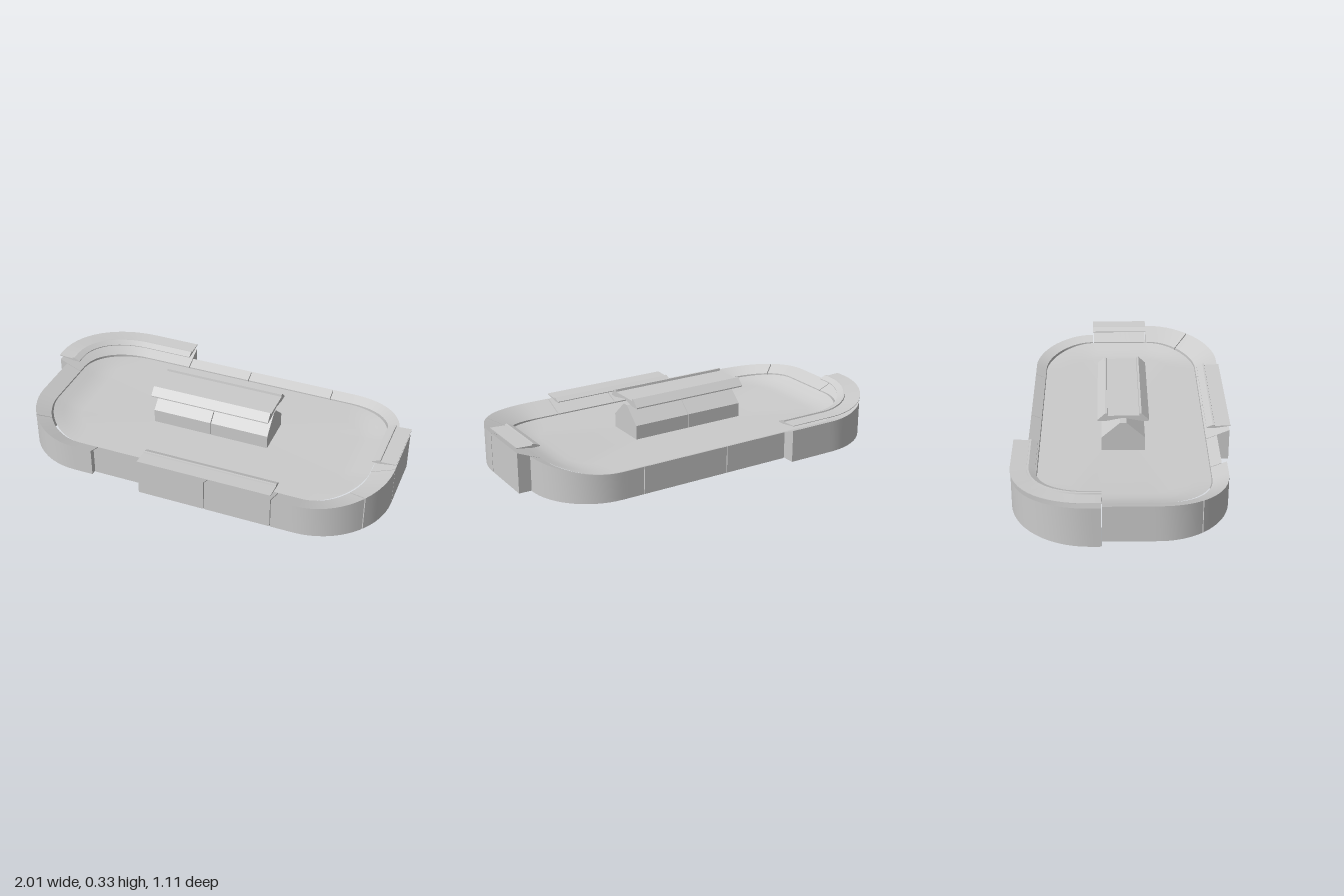
import * as THREE from 'three';
import { toCreasedNormals } from 'three/addons/utils/BufferGeometryUtils.js';

const grey = new THREE.MeshStandardMaterial({ color: 0xcccccc });
const greyOpen = new THREE.MeshStandardMaterial({ color: 0xcccccc, side: THREE.DoubleSide });

// Rounded-rectangle path: corner centres at (+-CX, +-CZ), corner radius R
const CX = 0.61, CZ = 0.16, R = 0.27, ARC = R * Math.PI / 2;
const LENGTHS = [2 * CX, ARC, 2 * CZ, ARC, 2 * CX, ARC, 2 * CZ, ARC];
const STARTS = LENGTHS.map((_, i) => LENGTHS.slice(0, i).reduce((a, b) => a + b, 0));
const TOTAL = STARTS[7] + ARC;
const END_LIFT = 0.04;

// Point, outward direction, end lift and corner weight at distance s along the path
function track(s) {
  s = ((s % TOTAL) + TOTAL) % TOTAL;
  let i = 7;
  while (i > 0 && s < STARTS[i] - 1e-9) i--;
  const t = (s - STARTS[i]) / LENGTHS[i];
  const side = i >> 1;
  const a = (side + (i % 2 ? t : 0)) * Math.PI / 2; // 0 = front, then left end, back, right end
  const nx = Math.sin(a), nz = Math.cos(a);
  const centres = [[CX, CZ], [CX, -CZ], [-CX, -CZ], [-CX, CZ]];
  const from = centres[(side + 3) % 4], to = centres[side];
  const k = i % 2 ? 1 : t;
  const cx = from[0] + (to[0] - from[0]) * k, cz = from[1] + (to[1] - from[1]) * k;
  let e = Math.acos(Math.min(1, Math.abs(nz))) / (Math.PI / 2);
  e = e * e * (3 - 2 * e);
  return { cx, cz, nx, nz, lift: END_LIFT * e, corner: Math.abs(Math.sin(2 * a)) };
}

// Samples between two path distances, with every straight/arc joint included
function samples(s0, s1) {
  const stops = [s0, s1];
  for (const b of [...STARTS, ...STARTS.map(v => v + TOTAL)]) if (b > s0 + 1e-4 && b < s1 - 1e-4) stops.push(b);
  stops.sort((a, b) => a - b);
  const out = [s0];
  for (let i = 1; i < stops.length; i++) {
    const n = Math.max(1, Math.ceil((stops[i] - stops[i - 1]) / 0.03));
    for (let j = 1; j <= n; j++) out.push(stops[i - 1] + (stops[i] - stops[i - 1]) * j / n);
  }
  return out;
}

function finish(pos) {
  const g = new THREE.BufferGeometry();
  g.setAttribute('position', new THREE.Float32BufferAttribute(pos, 3));
  g.computeVertexNormals();
  return toCreasedNormals(g, 0.35);
}

// Sweep a counter-clockwise (offset, height) profile along the path and cap both ends
function sweep(s0, s1, profile, openBottom) {
  const rings = samples(s0, s1).map(s => {
    const p = track(s);
    return profile.map(([d, y]) => [p.cx + p.nx * (R + d), y > 0 ? y + p.lift : 0, p.cz + p.nz * (R + d)]);
  });
  const pos = [], n = profile.length;
  const tri = (a, b, c) => pos.push(...a, ...b, ...c);
  for (let i = 0; i < rings.length - 1; i++) {
    for (let j = openBottom ? 1 : 0; j < n; j++) {
      const k = (j + 1) % n, A = rings[i], B = rings[i + 1];
      tri(A[j], B[j], A[k]);
      tri(B[j], B[k], A[k]);
    }
  }
  const faces = THREE.ShapeUtils.triangulateShape(profile.map(p => new THREE.Vector2(...p)), []);
  const first = rings[0], last = rings[rings.length - 1];
  for (const [a, b, c] of faces) {
    tri(first[a], first[b], first[c]);
    tri(last[a], last[c], last[b]);
  }
  return finish(pos);
}

// Dished floor: nested loops whose rim follows the raised ends
function floorGeometry() {
  const ss = samples(0, TOTAL);
  const loop = (inset, rise) => ss.map(s => {
    const p = track(s), r = R - inset - 0.003 - 0.009 * p.corner;
    return [p.cx + p.nx * r, 0.115 + p.lift * rise, p.cz + p.nz * r];
  });
  const loops = [loop(0, 1), loop(0.05, 0.5), loop(0.1, 0.12), loop(0.15, 0)];
  const inner = loops[3], pos = [];
  for (let i = 0; i < ss.length - 1; i++) {
    for (let l = 0; l < 3; l++) {
      const a = loops[l][i], b = loops[l][i + 1], c = loops[l + 1][i + 1], d = loops[l + 1][i];
      pos.push(...a, ...b, ...c, ...a, ...c, ...d);
    }
    pos.push(...inner[i], ...inner[i + 1], 0, 0.115, 0);
  }
  return finish(pos);
}

// Prism along x from a (z, y) outline
function prism(outline, x0, x1) {
  const shape = new THREE.Shape(outline.map(([z, y]) => new THREE.Vector2(-z, y)));
  const g = new THREE.ExtrudeGeometry(shape, { depth: x1 - x0, bevelEnabled: false });
  g.rotateY(Math.PI / 2);
  g.translate(x0, 0, 0);
  return g;
}

export function createModel() {
  const group = new THREE.Group();
  const add = (name, geometry, material = grey) => {
    const mesh = new THREE.Mesh(geometry, material);
    mesh.name = name;
    group.add(mesh);
  };

  add('floor', floorGeometry(), greyOpen);

  // Stand blocks, hollow from below: name, start and end along the path, depth
  const [, A, E, B, K, , L, D] = STARTS;
  const stands = [
    ['frontLowStand', 0.11, 0.39, 0.055],
    ['frontStand', 0.39, 0.75, 0.12],
    ['frontStand', 0.75, 1.10, 0.12],
    ['frontLeftCornerStand', 1.10, A + 0.58 * ARC, 0.12],
    ['frontLeftCornerStand', A + 0.58 * ARC, E + 0.01, 0.12],
    ['leftEndStand', E + 0.01, B, 0.12],
    ['backLeftCornerStand', B, K + 0.12, 0.055],
    ['backStand', K + 0.12, K + 0.60, 0.055],
    ['backStand', K + 0.60, K + 0.96, 0.055],
    ['backRightCornerStand', K + 0.96, L + 0.05, 0.12],
    ['rightEndStand', L + 0.05, D + 0.4 * ARC, 0.08],
    ['frontRightCornerStand', D + 0.4 * ARC, TOTAL + 0.11, 0.08],
  ];
  for (const [name, s0, s1, d] of stands) {
    const profile = [[0, 0], [d, 0], [d, 0.12 + 0.42 * d], [0, 0.12]];
    add(name, sweep(s0 + 0.002, s1 - 0.002, profile, true), greyOpen);
  }

  // Floating canopies above the deep stands
  const canopy = [[0, 0.184], [0.035, 0.183], [0.123, 0.197], [0.123, 0.2], [0.043, 0.196], [0.041, 0.203], [0.032, 0.203], [0, 0.188]];
  add('frontCanopy', sweep(0.39, 1.10, canopy, false));
  add('leftEndCanopy', sweep(E + 0.01, B + 0.003, canopy, false));
  add('backRightCanopy', sweep(K + 0.96, L + 0.05, canopy, false));

  // Central building in two halves, standing on the floor
  const hall = [[0.11, 0.117], [0.11, 0.191], [0.017, 0.275], [-0.017, 0.275], [-0.11, 0.191], [-0.11, 0.117]];
  add('hallRight', prism(hall, -0.322, -0.002));
  add('hallLeft', prism(hall, 0.002, 0.315));

  // Winged roof floating over the building
  const wing = [[0.13, 0.29], [0.13, 0.296], [0.092, 0.332], [0.082, 0.332], [0.08, 0.32]];
  const mirrored = wing.map(([z, y]) => [-z, y]).reverse();
  add('hallRoof', prism([...wing, ...mirrored, [-0.09, 0.29], [0, 0.308], [0.09, 0.29]], -0.328, 0.322));

  return group;
}
